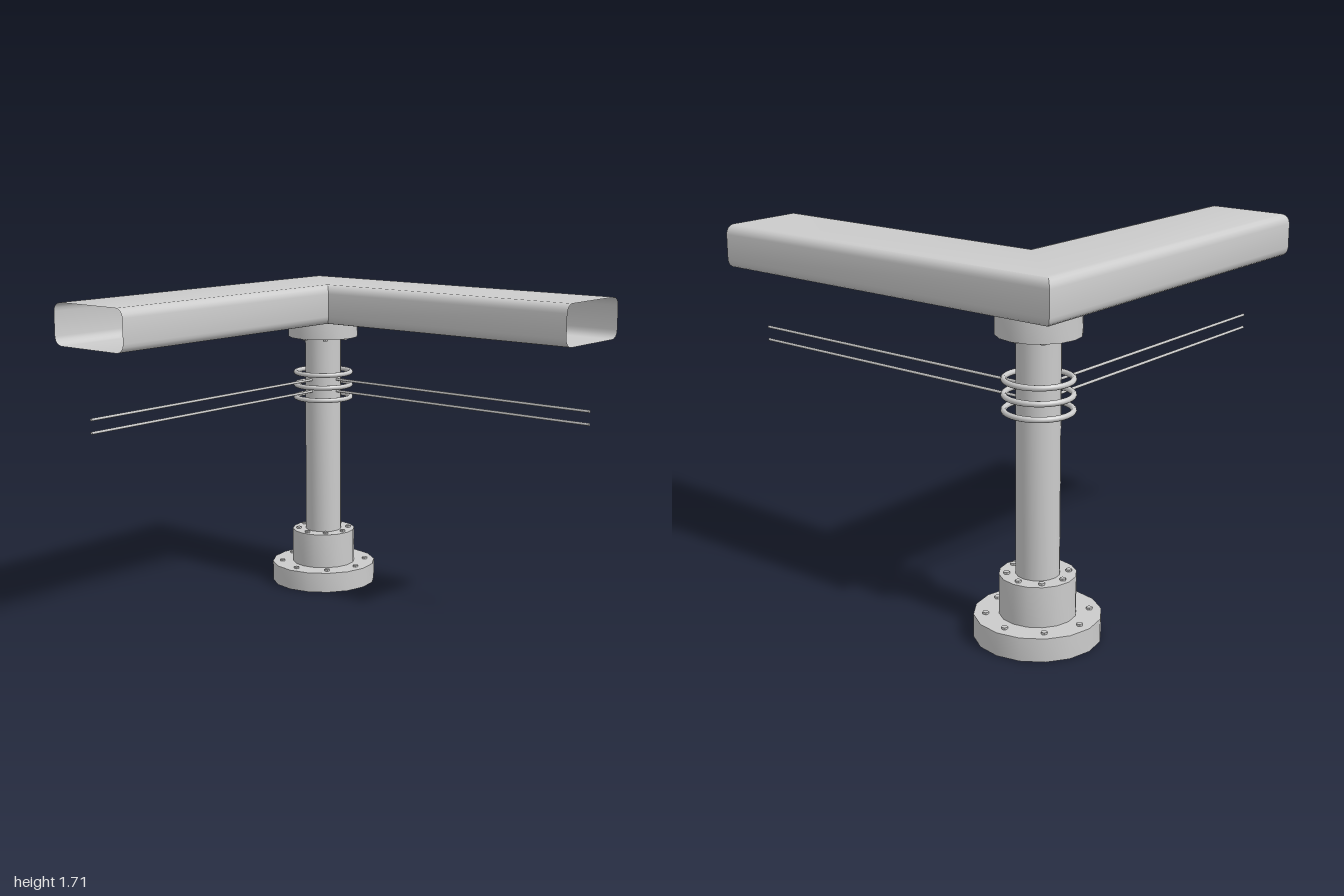
import * as THREE from 'three';
import { toCreasedNormals } from 'three/addons/utils/BufferGeometryUtils.js';

const C = -0.71; // post axis in both x and z
const CREASE = 0.6;
const grey = new THREE.MeshStandardMaterial({ color: 0xcccccc, side: THREE.DoubleSide });

function add(parent, name, geometry, x = 0, y = 0, z = 0) {
  const mesh = new THREE.Mesh(geometry, grey);
  mesh.name = name;
  mesh.position.set(x, y, z);
  parent.add(mesh);
  return mesh;
}

// Thin shell turned about the post axis, profile as [radius, height]
function turned(profile) {
  const points = profile.map(([r, y]) => new THREE.Vector2(r, y));
  return toCreasedNormals(new THREE.LatheGeometry(points, 16), CREASE);
}

// Circle of small bolt heads
function boltCircle(parent, name, radius, y) {
  const bolts = new THREE.Group();
  bolts.name = name;
  const head = toCreasedNormals(new THREE.CylinderGeometry(0.014, 0.014, 0.02, 8), 0.9);
  for (let i = 0; i < 8; i++) {
    const a = (i * Math.PI) / 4;
    add(bolts, 'bolt', head, radius * Math.cos(a), y, radius * Math.sin(a));
  }
  parent.add(bolts);
}

// Hollow rounded-rectangle duct swept around a mitred right-angle corner
function ductGeometry() {
  const halfWidth = 0.24, bottom = 1.5, top = 1.71, r = 0.045, steps = 4;
  const section = [];
  const corners = [[1, 1], [-1, 1], [-1, -1], [1, -1]];
  corners.forEach(([sx, sy], q) => {
    for (let i = 0; i <= steps; i++) {
      const a = (q + i / steps) * Math.PI / 2;
      section.push([
        sx * (halfWidth - r) + r * Math.cos(a),
        (sy > 0 ? top - r : bottom + r) + r * Math.sin(a),
      ]);
    }
  });
  const n = section.length, positions = [], indices = [];
  const stations = [
    (s, y) => [1, y, C + s],
    (s, y) => [C + s, y, C + s],
    (s, y) => [C + s, y, 1],
  ];
  for (const place of stations) for (const [s, y] of section) positions.push(...place(s, y));
  for (let k = 0; k < 2; k++) {
    for (let i = 0; i < n; i++) {
      const j = (i + 1) % n;
      const a = k * n + i, b = k * n + j, c = a + n, d = b + n;
      indices.push(a, c, b, b, c, d);
    }
  }
  const geometry = new THREE.BufferGeometry();
  geometry.setAttribute('position', new THREE.Float32BufferAttribute(positions, 3));
  geometry.setIndex(indices);
  return toCreasedNormals(geometry, CREASE);
}

export function createModel() {
  const model = new THREE.Group();
  model.name = 'cornerSupport';
  add(model, 'cornerDuct', ductGeometry());

  const post = new THREE.Group();
  post.name = 'postAssembly';
  post.position.set(C, 0, C);
  model.add(post);

  // Base, collar, column and top flange
  add(post, 'baseFlange', turned([[0.29, 0], [0.29, 0.11], [0.175, 0.11]]));
  add(post, 'collar', turned([[0.175, 0.11], [0.175, 0.3], [0.1, 0.3]]));
  add(post, 'column', turned([[0.1, 0.3], [0.1, 1.5]]));
  add(post, 'topFlange', turned([[0.1, 1.4], [0.192, 1.4], [0.192, 1.5]]));
  boltCircle(post, 'baseBolts', 0.235, 0.11);
  boltCircle(post, 'collarBolts', 0.14, 0.3);
  boltCircle(post, 'topBolts', 0.153, 1.4);

  // Rings around the column
  const ring = new THREE.TorusGeometry(0.153, 0.013, 10, 32).rotateX(Math.PI / 2);
  for (const y of [1.06, 1.13, 1.2]) add(post, 'ring', ring, 0, y, 0);

  // Pairs of rods running under each arm
  const start = -0.62, length = 1 - start, mid = (1 + start) / 2;
  const rod = new THREE.CylinderGeometry(0.007, 0.007, length, 8);
  for (const y of [1.1, 1.165]) {
    add(model, 'rodAlongX', rod, mid, y, C).rotation.z = Math.PI / 2;
    add(model, 'rodAlongZ', rod, C, y, mid).rotation.x = Math.PI / 2;
  }
  return model;
}
